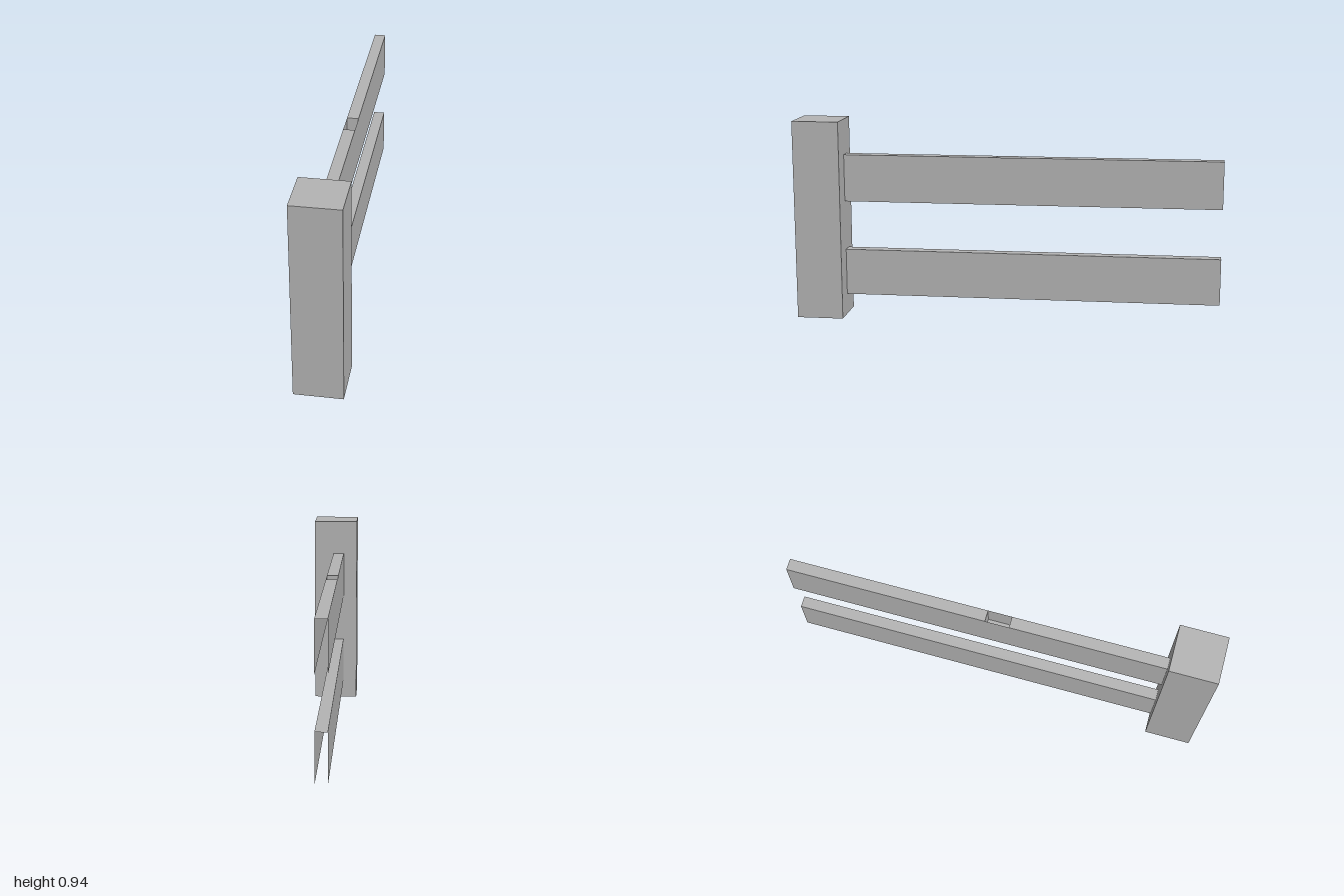
import * as THREE from 'three';

const grey = new THREE.MeshStandardMaterial({ color: 0xb4b4b4, side: THREE.DoubleSide });
grey.name = 'paintedGrey';

// Box face groups: +x, -x, +y, -y, +z, -z. Faces not listed are left open.
const FACES = ['right', 'left', 'top', 'bottom', 'front', 'back'];

// Thin shell spanning min..max, keeping only the named sides.
function shell(name, min, max, sides) {
  const size = max.map((v, i) => v - min[i]);
  const geometry = new THREE.BoxGeometry(...size);
  const index = Array.from(geometry.index.array);
  geometry.setIndex(sides.flatMap((s) => {
    const start = FACES.indexOf(s) * 6;
    return index.slice(start, start + 6);
  }));
  geometry.clearGroups();
  const mesh = new THREE.Mesh(geometry, grey);
  mesh.name = name;
  mesh.position.set(...min.map((v, i) => v + size[i] / 2));
  return mesh;
}

export function createModel() {
  const model = new THREE.Group();
  model.name = 'fenceSection';

  // Square post, open underneath
  model.add(shell('post', [-0.11, 0, 0.78], [0.11, 0.945, 1],
    ['right', 'left', 'top', 'front', 'back']));

  // Rails are channels open at the ends and underneath
  const x0 = -0.042, x1 = 0.012, back = -1, front = 0.78;
  model.add(shell('lowerRail', [x0, 0.097, back], [x1, 0.318, front], ['right', 'left', 'top']));

  // The upper rail has a socket in the middle of its top
  const y0 = 0.553, y1 = 0.777, s0 = -0.06, s1 = 0.052;
  const upperRail = new THREE.Group();
  upperRail.name = 'upperRail';
  upperRail.add(
    shell('railSides', [x0, y0, back], [x1, y1, front], ['right', 'left']),
    shell('railTopBack', [x0, y0, back], [x1, y1, s0], ['top']),
    shell('railTopFront', [x0, y0, s1], [x1, y1, front], ['top']),
    shell('railSocket', [x0, y1 - 0.11, s0], [x1, y1, s1], ['bottom', 'front', 'back']),
  );
  model.add(upperRail);
  return model;
}
